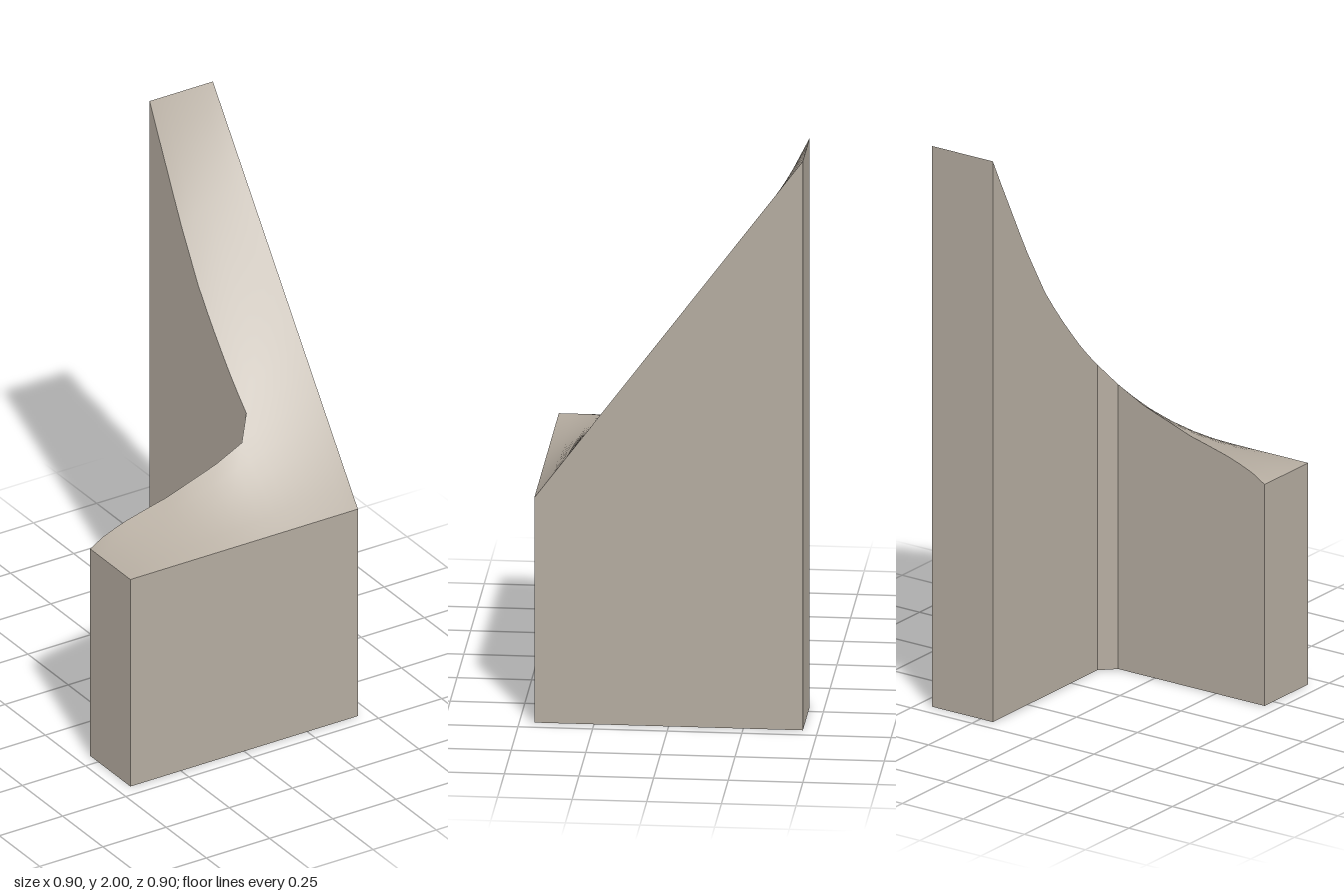
import * as THREE from 'three';

const N = 18, STEP = 0.05, IN = 13, FRONT_H = 0.79, BACK_H = 2;
const pos = (i) => -0.45 + i * STEP;

// Heights along the inner edges of the two arms, from the outer end to the chamfer
const frontArmEdge = [0.79, 0.82, 0.84, 0.857, 0.87, 0.883, 0.895, 0.912, 0.93, 0.947, 0.965, 0.99, 1.015];
const sideArmEdge = [2, 1.9, 1.803, 1.705, 1.61, 1.525, 1.44, 1.372, 1.308, 1.248, 1.19, 1.138, 1.09];

// Height at a node on the outline; undefined inside
function edgeHeight(i, j) {
  if (j === N || i === 0) return FRONT_H;
  if (j === 0) return BACK_H;
  if (i === N) return FRONT_H + (BACK_H - FRONT_H) * (1 - j / N);
  if (j === IN && i < IN) return frontArmEdge[i];
  if (i === IN && j < IN) return sideArmEdge[j];
  return undefined;
}

const inPlan = (i, j) => i >= IN || j >= IN;

// Stretch a smooth membrane over the L-shaped outline
function solveHeights() {
  const h = [], free = [];
  for (let i = 0; i <= N; i++) {
    h.push([]);
    for (let j = 0; j <= N; j++) {
      const e = inPlan(i, j) ? edgeHeight(i, j) : 0;
      h[i][j] = e === undefined ? 1 : e;
      if (e === undefined) free.push([i, j]);
    }
  }
  for (let k = 0; k < 400; k++)
    for (const [i, j] of free)
      h[i][j] = (h[i - 1][j] + h[i + 1][j] + h[i][j - 1] + h[i][j + 1]) / 4;
  return h;
}

function topGeometry(h) {
  const verts = [], index = [];
  for (let i = 0; i <= N; i++)
    for (let j = 0; j <= N; j++) verts.push(pos(i), h[i][j], pos(j));
  const id = (i, j) => i * (N + 1) + j;
  for (let i = 0; i < N; i++)
    for (let j = 0; j < N; j++) {
      const b = id(i + 1, j), c = id(i, j + 1);
      // The cell in the inner corner keeps only its chamfer triangle
      if (inPlan(i, j)) index.push(id(i, j), c, b);
      if (inPlan(i, j) || (i === IN - 1 && j === IN - 1)) index.push(c, id(i + 1, j + 1), b);
    }
  const geo = new THREE.BufferGeometry();
  geo.setAttribute('position', new THREE.Float32BufferAttribute(verts, 3));
  geo.setIndex(index);
  geo.computeVertexNormals();
  return geo;
}

// Plan corners, counter-clockwise seen from above, as grid nodes
const corners = [[0, N], [N, N], [N, 0], [IN, 0], [IN, IN - 1], [IN - 1, IN], [0, IN]];

function wallGeometry(h) {
  const verts = [];
  corners.forEach(([i0, j0], k) => {
    const [i1, j1] = corners[(k + 1) % corners.length];
    const n = Math.max(Math.abs(i1 - i0), Math.abs(j1 - j0));
    const di = (i1 - i0) / n, dj = (j1 - j0) / n;
    for (let s = 0; s < n; s++) {
      const i = i0 + di * s, j = j0 + dj * s;
      const a = [pos(i), 0, pos(j)], b = [pos(i + di), 0, pos(j + dj)];
      const c = [b[0], h[i + di][j + dj], b[2]], d = [a[0], h[i][j], a[2]];
      verts.push(...a, ...b, ...c, ...a, ...c, ...d);
    }
  });
  const geo = new THREE.BufferGeometry();
  geo.setAttribute('position', new THREE.Float32BufferAttribute(verts, 3));
  geo.computeVertexNormals();
  return geo;
}

function baseGeometry() {
  const shape = new THREE.Shape(corners.map(([i, j]) => new THREE.Vector2(pos(i), pos(j))));
  return new THREE.ShapeGeometry(shape).rotateX(Math.PI / 2);
}

export function createModel() {
  const group = new THREE.Group();
  group.name = 'cornerBlock';
  const stone = new THREE.MeshStandardMaterial({ color: 0xb5aca0 });
  stone.name = 'warm grey stone';
  const add = (name, geo) => {
    const mesh = new THREE.Mesh(geo, stone);
    mesh.name = name;
    group.add(mesh);
  };
  const h = solveHeights();
  add('curvedTop', topGeometry(h));
  add('walls', wallGeometry(h));
  add('base', baseGeometry());
  return group;
}
